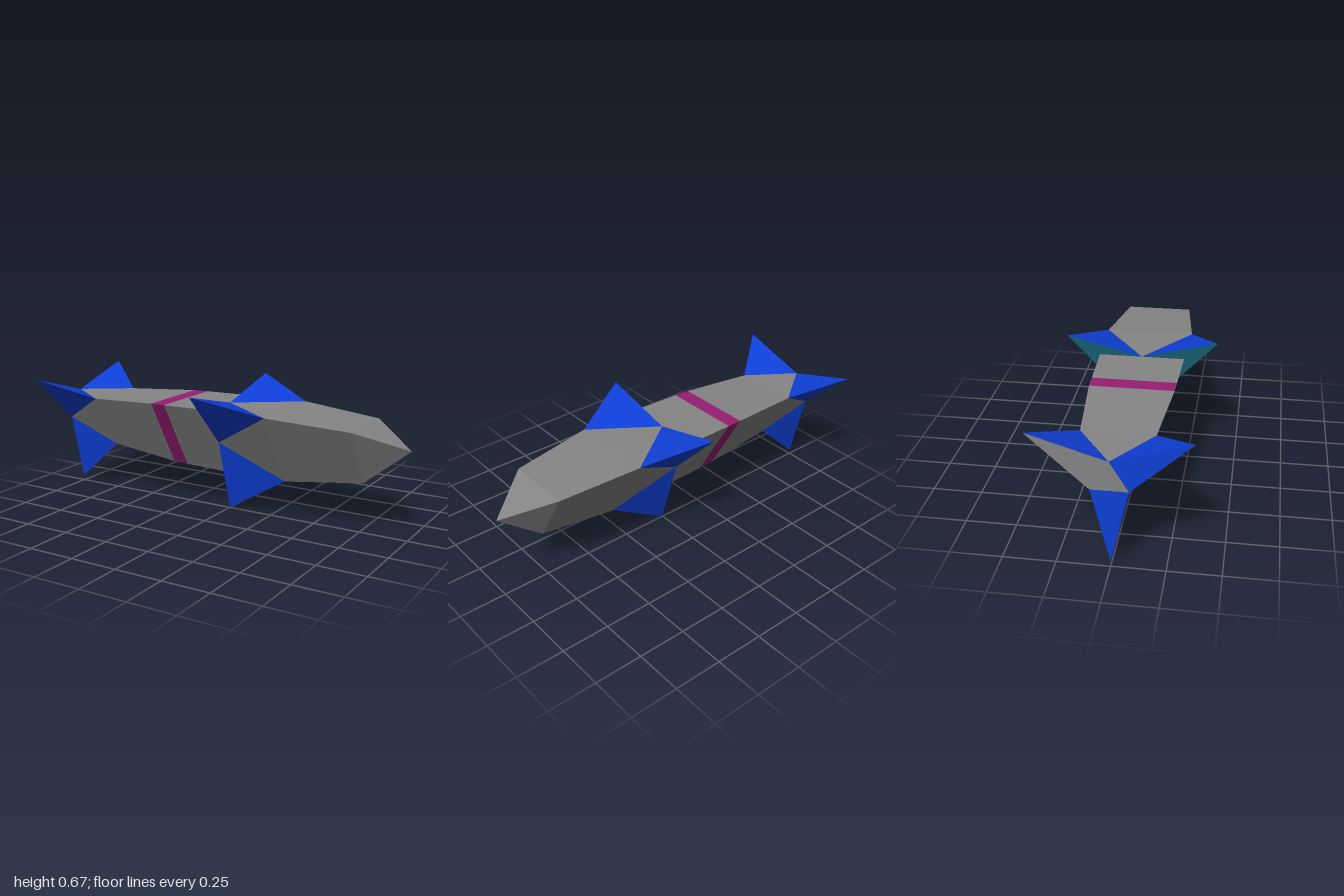
import * as THREE from 'three';

const grey = new THREE.MeshStandardMaterial({ name: 'hull grey', color: 0x858585 });
const blue = new THREE.MeshStandardMaterial({ name: 'fin blue', color: 0x0f3fd8 });
const magenta = new THREE.MeshStandardMaterial({ name: 'band magenta', color: 0x971d73 });
const teal = new THREE.MeshStandardMaterial({ name: 'fin back teal', color: 0x165c70 });
for (const m of [grey, blue, magenta, teal]) m.flatShading = true;

const P = (x, y, z) => new THREE.Vector3(x, y, z);
const mid = (a, b) => a.clone().lerp(b, 0.5);

// Three corners of a section: bottom, upper +z, upper -z
const ring = (x, top, half, bottom) => [P(x, bottom, 0), P(x, top, half), P(x, top, -half)];

// Flat-faced mesh from a list of triangle corners
function faces(name, points, material) {
  const geometry = new THREE.BufferGeometry().setFromPoints(points);
  geometry.computeVertexNormals();
  const mesh = new THREE.Mesh(geometry, material);
  mesh.name = name;
  return mesh;
}

// Three-sided skin between a forward and a rearward ring
function skin(name, f, k, material) {
  const pts = [];
  for (let i = 0; i < 3; i++) {
    const j = (i + 1) % 3;
    pts.push(f[i], f[j], k[j], f[i], k[j], k[i]);
  }
  return faces(name, pts, material);
}

// Hull that splits into three swept fins, closed by a star-shaped back
function finStage(name, f, tips, backMaterials, coreMaterial) {
  const group = new THREE.Group();
  group.name = name;
  const x = tips[0].x;
  const notch = f.map((p, i) => mid(p, f[(i + 1) % 3]).setX(x));
  const hull = [], fins = [];
  for (let i = 0; i < 3; i++) {
    const j = (i + 1) % 3;
    hull.push(f[i], f[j], notch[i]);
    fins.push(f[i], notch[i], tips[i], f[j], tips[j], notch[i]);
    group.add(faces('finBack', [notch[(i + 2) % 3], tips[i], notch[i]], backMaterials[i]));
  }
  group.add(
    faces('finHull', hull, grey),
    faces('fins', fins, blue),
    faces('backPlate', notch, coreMaterial)
  );
  return group;
}

export function createModel() {
  const model = new THREE.Group();
  model.name = 'finnedRocket';

  // Front stage
  const noseBase = ring(0.76, 0.55, 0.175, 0.258);
  const shoulder = ring(0.33, 0.579, 0.23, 0.2);
  const nose = [0, 1, 2].map(() => P(1, 0.452, 0));
  model.add(
    skin('noseCone', nose, noseBase, grey),
    skin('frontHull', noseBase, shoulder, grey),
    finStage('frontFins', shoulder, ring(0.003, 0.675, 0.389, 0.003), [teal, teal, teal], teal)
  );

  // Rear stage with its painted band
  const joint = ring(0.003, 0.579, 0.219, 0.2);
  const bandFront = ring(-0.268, 0.575, 0.212, 0.207);
  const bandBack = ring(-0.352, 0.573, 0.209, 0.211);
  const tail = ring(-0.75, 0.55, 0.173, 0.258);
  model.add(
    skin('midHull', joint, bandFront, grey),
    skin('band', bandFront, bandBack, magenta),
    skin('rearHull', bandBack, tail, grey),
    finStage('tailFins', tail, ring(-1, 0.662, 0.366, 0.03), [blue, blue, grey], grey)
  );
  return model;
}
